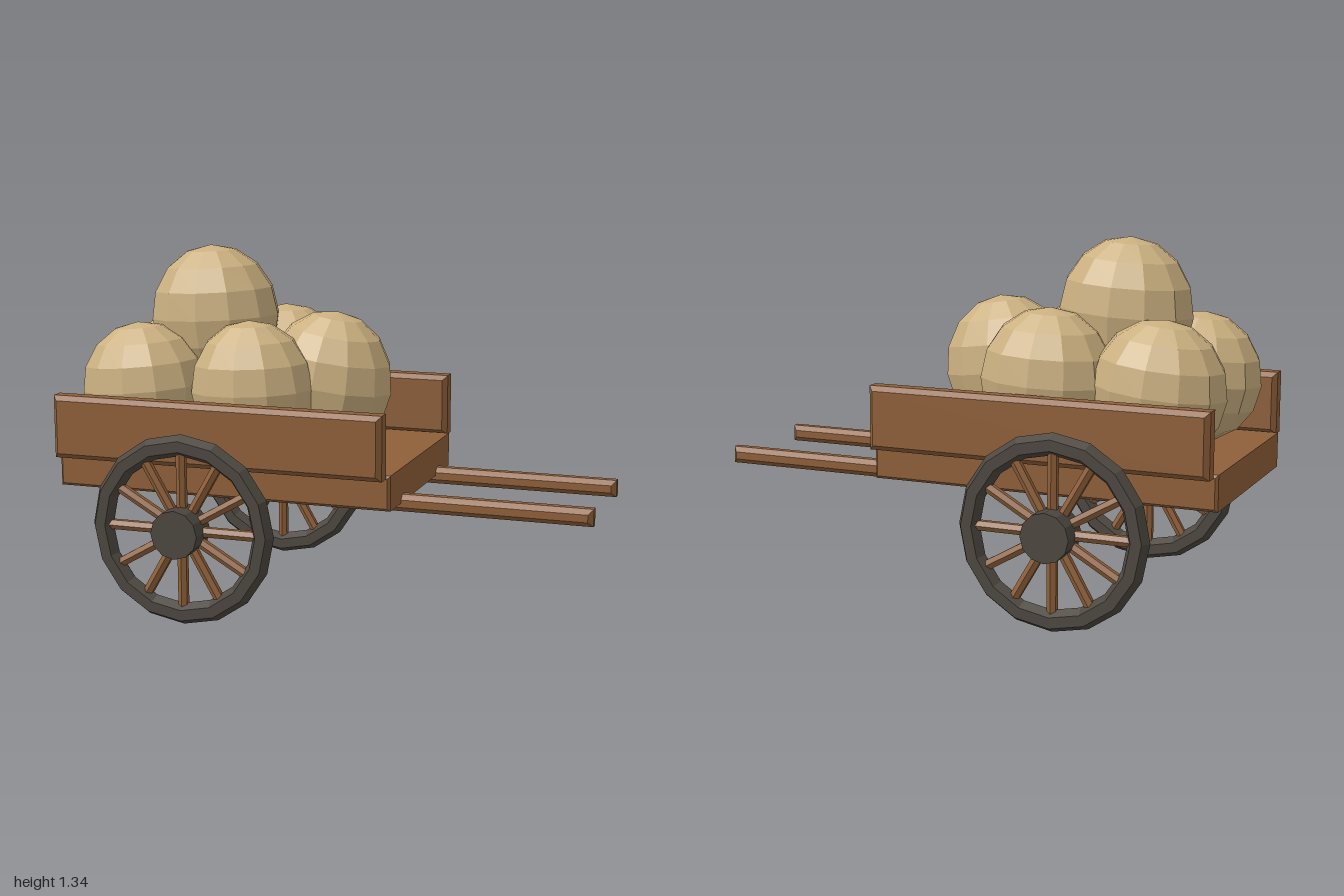
import * as THREE from 'three';

const mat = (name, color) => {
  const m = new THREE.MeshStandardMaterial({ color, flatShading: true });
  m.name = name;
  return m;
};

// Box with flat chamfers on every edge
function chamferBox(w, h, d, b) {
  const x = w / 2 - b, y = h / 2 - b;
  const shape = new THREE.Shape([
    new THREE.Vector2(-x, -y), new THREE.Vector2(x, -y),
    new THREE.Vector2(x, y), new THREE.Vector2(-x, y),
  ]);
  const geo = new THREE.ExtrudeGeometry(shape, {
    depth: d - 2 * b, bevelEnabled: true, bevelThickness: b, bevelSize: b, bevelSegments: 1,
  });
  return geo.translate(0, 0, b - d / 2);
}

export function createModel() {
  const wood = mat('wood', 0x8f6039);
  const iron = mat('darkIron', 0x4d4740);
  const burlap = mat('burlap', 0xcbb080);

  const cart = new THREE.Group();
  cart.name = 'handCart';
  const add = (parent, name, geo, material, x = 0, y = 0, z = 0) => {
    const mesh = new THREE.Mesh(geo, material);
    mesh.name = name;
    mesh.position.set(x, y, z);
    parent.add(mesh);
    return mesh;
  };

  // Load bed
  add(cart, 'bed', chamferBox(1.3, 0.13, 0.8, 0.01), wood, -0.35, 0.524, 0);

  // Side boards, handle shafts and wheels, mirrored front and back
  const boardGeo = chamferBox(1.275, 0.236, 0.084, 0.018);
  const shaftGeo = chamferBox(1.17, 0.064, 0.064, 0.018);
  const rimGeo = new THREE.TorusGeometry(0.315, 0.04, 6, 16);
  const hubGeo = new THREE.CylinderGeometry(0.09, 0.09, 0.125, 12).rotateX(Math.PI / 2);
  const spokeGeo = new THREE.CylinderGeometry(0.02, 0.02, 0.24, 6).translate(0, 0.18, 0);

  for (const side of [1, -1]) {
    add(cart, 'sideBoard', boardGeo, wood, -0.35, 0.698, side * 0.433);
    add(cart, 'handleShaft', shaftGeo, wood, 0.415, 0.457, side * 0.23);

    const wheel = new THREE.Group();
    wheel.name = 'wheel';
    wheel.position.set(-0.45, 0.36, side * 0.518);
    add(wheel, 'rim', rimGeo, iron);
    add(wheel, 'hub', hubGeo, iron, 0, 0, side * 0.0195);
    for (let i = 0; i < 12; i++) {
      add(wheel, 'spoke', spokeGeo, wood).rotation.z = (i * Math.PI) / 6;
    }
    cart.add(wheel);
  }

  // Plump sacks: centre, radii, tilt about z
  const sackGeo = new THREE.SphereGeometry(1, 12, 8).rotateY(Math.PI);
  const sacks = [
    [[-0.74, 0.82, 0.19], [0.245, 0.245, 0.195], 0.1],
    [[-0.72, 0.83, -0.2], [0.25, 0.25, 0.195], 0.1],
    [[-0.305, 0.83, 0.18], [0.24, 0.258, 0.19], 0.05],
    [[-0.305, 0.84, -0.21], [0.255, 0.262, 0.2], 0.04],
    [[-0.07, 0.842, -0.005], [0.25, 0.27, 0.196], -0.15],
    [[-0.525, 1.075, 0], [0.255, 0.27, 0.2], 0.06],
  ];
  for (const [pos, radii, tilt] of sacks) {
    const sack = add(cart, 'sack', sackGeo, burlap, ...pos);
    sack.scale.set(...radii);
    sack.rotation.z = tilt;
  }

  return cart;
}
